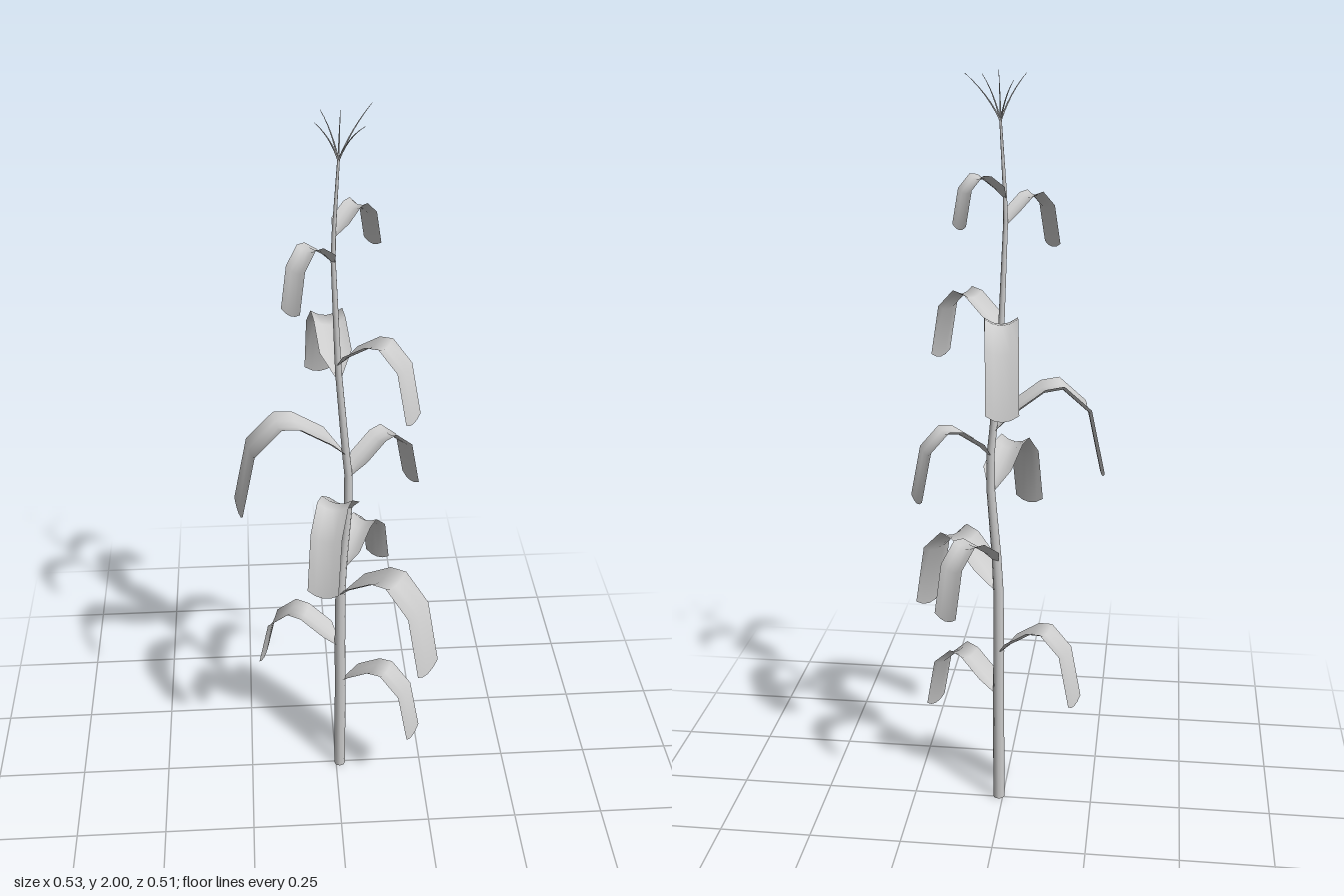
import * as THREE from 'three';

const material = new THREE.MeshStandardMaterial({ color: 0xcccccc });
const leafMaterial = new THREE.MeshStandardMaterial({ color: 0xcccccc, side: THREE.DoubleSide });

// Stalk nodes: height, x offset, radius
const NODES = [
  [0, 0.011, 0.016], [0.32, 0.012, 0.0155], [0.46, 0.011, 0.015], [0.64, 0.012, 0.014],
  [0.74, 0.017, 0.013], [0.93, 0.032, 0.0115], [1.03, 0.032, 0.0105], [1.1, 0.025, 0.01],
  [1.32, 0.007, 0.0085], [1.37, 0.004, 0.008], [1.64, -0.007, 0.006], [1.71, -0.005, 0.005],
  [1.89, 0.006, 0.003],
];
const STALK_Z = 0.004;

function stalkX(y) {
  for (let i = 1; i < NODES.length; i++) {
    const [y0, x0] = NODES[i - 1], [y1, x1] = NODES[i];
    if (y <= y1) return x0 + (x1 - x0) * (y - y0) / (y1 - y0);
  }
  return NODES[NODES.length - 1][1];
}

// Leaves: base height, tip x, tip z, width
const LEAVES = [
  [0.328, 0.21, 0.132, 0.075], [0.458, -0.204, -0.081, 0.077],
  [0.643, 0.236, 0.197, 0.095], [0.728, 0.13, -0.176, 0.072],
  [0.928, -0.048, 0.241, 0.082], [1.028, 0.21, -0.112, 0.07],
  [1.098, -0.256, 0.067, 0.096], [1.32, -0.028, -0.251, 0.082],
  [1.358, 0.181, 0.134, 0.07], [1.633, -0.114, 0.13, 0.056],
  [1.698, 0.095, -0.094, 0.056],
];
// Arching midrib: distance out, rise, width (all as fractions)
const RIB = [
  [0, -0.03, 0.15], [0.16, 0.13, 1], [0.45, 0.335, 1], [0.62, 0.36, 1], [0.87, 0.13, 1], [1, -0.475, 1],
];

// Lofted leaf blade with a shallow trough along the midrib
function makeLeaf([y, tipX, tipZ, width]) {
  const baseX = stalkX(y), dx = tipX - baseX, dz = tipZ - STALK_Z;
  const length = Math.hypot(dx, dz), across = 4;
  const sx = -dz / length, sz = dx / length;
  const pos = [], index = [];
  RIB.forEach(([out, rise, w], i) => {
    for (let j = 0; j <= across; j++) {
      const s = j / across * 2 - 1, side = s * w * width / 2;
      pos.push(baseX + dx * out + sx * side,
        y + rise * length + 0.2 * width * w * s * s,
        STALK_Z + dz * out + sz * side);
      if (i && j) {
        const d = i * (across + 1) + j, c = d - 1, b = d - across - 1, a = b - 1;
        index.push(a, c, b, b, c, d);
      }
    }
  });
  const geo = new THREE.BufferGeometry();
  geo.setAttribute('position', new THREE.Float32BufferAttribute(pos, 3));
  geo.setIndex(index);
  geo.computeVertexNormals();
  return new THREE.Mesh(geo, leafMaterial);
}

// Tapered stalk that bends at each node
function makeStalk() {
  const geo = new THREE.CylinderGeometry(1, 1, NODES.length - 1, 8, NODES.length - 1);
  const p = geo.attributes.position;
  for (let i = 0; i < p.count; i++) {
    const [y, x, r] = NODES[Math.round(p.getY(i) + (NODES.length - 1) / 2)];
    p.setXYZ(i, p.getX(i) * r + x, y, p.getZ(i) * r + STALK_Z);
  }
  return new THREE.Mesh(geo, material);
}

// Thin tassel strand bending outwards to its tip
function makeStrand(x, y, z) {
  const x0 = stalkX(1.88), segments = 6, sides = 5;
  const curve = new THREE.QuadraticBezierCurve3(
    new THREE.Vector3(x0, 1.88, STALK_Z),
    new THREE.Vector3(x0 + (x - x0) * 0.35, 1.945, STALK_Z + (z - STALK_Z) * 0.35),
    new THREE.Vector3(x, y, z));
  const geo = new THREE.TubeGeometry(curve, segments, 0.0025, sides);
  const p = geo.attributes.position, v = new THREE.Vector3();
  for (let i = 0; i < p.count; i++) {
    const t = Math.floor(i / (sides + 1)) / segments;
    v.fromBufferAttribute(p, i).lerp(curve.getPointAt(t), t * 0.8);
    p.setXYZ(i, v.x, v.y, v.z);
  }
  return new THREE.Mesh(geo, material);
}

export function createModel() {
  const plant = new THREE.Group();
  plant.name = 'plant';

  const stalk = makeStalk();
  stalk.name = 'stalk';
  plant.add(stalk);

  const leaves = new THREE.Group();
  leaves.name = 'leaves';
  LEAVES.forEach((spec, i) => {
    const leaf = makeLeaf(spec);
    leaf.name = `leaf${i + 1}`;
    leaves.add(leaf);
  });
  plant.add(leaves);

  const tassel = new THREE.Group();
  tassel.name = 'tassel';
  const tips = [[-0.052, 1.99, 0.062], [0.06, 1.985, 0.08], [0.085, 1.995, -0.048], [-0.033, 1.98, -0.055], [0.01, 2, 0.004]];
  for (const tip of tips) {
    const strand = makeStrand(...tip);
    strand.name = 'tasselStrand';
    tassel.add(strand);
  }
  plant.add(tassel);
  return plant;
}
